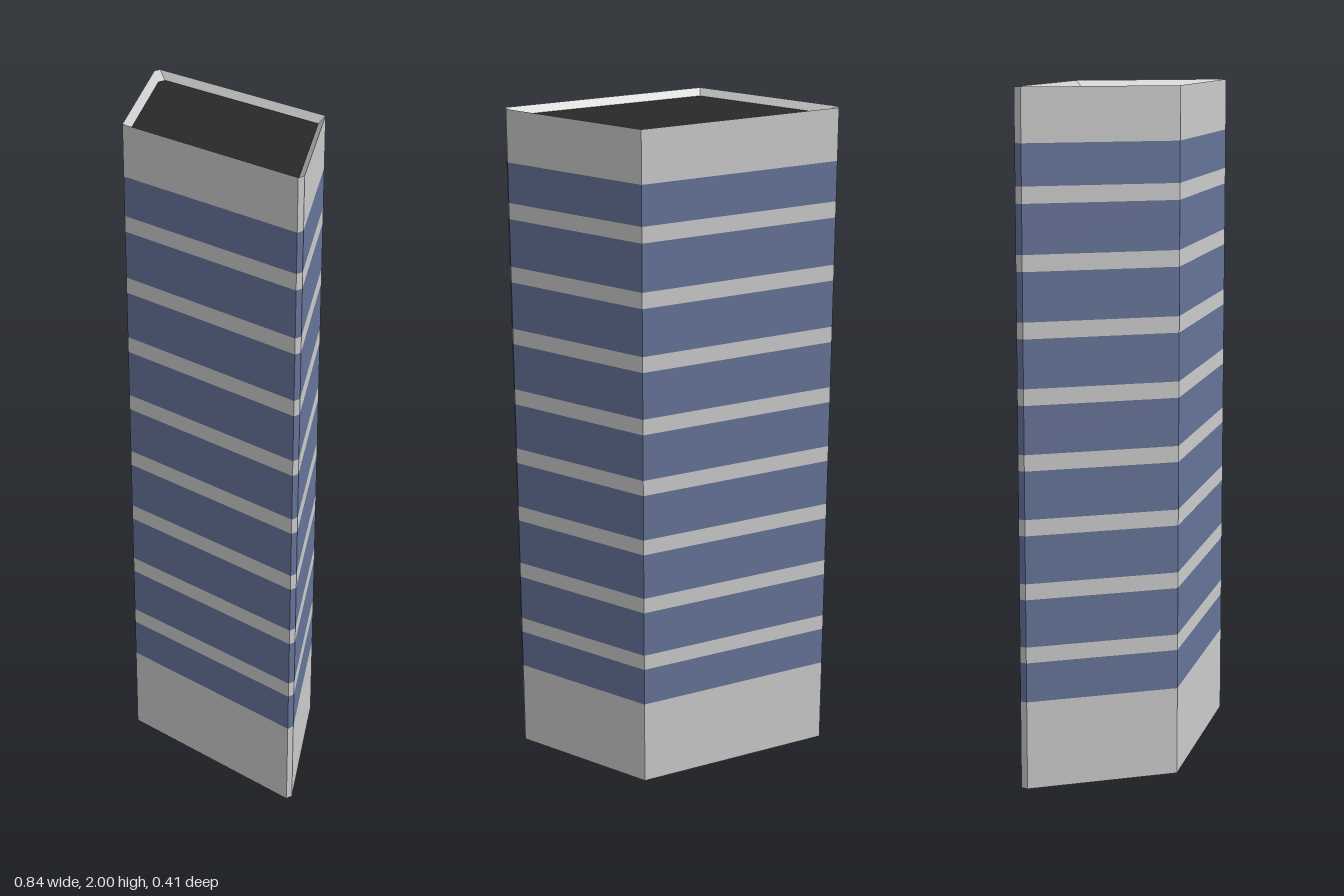
import * as THREE from 'three';

// Footprint as [x, z]: a parallelogram with its two sharp corners cut off
const half = [[-0.417, -0.204], [0.19, -0.204], [0.422, 0.184]];
const innerHalf = [[-0.383, -0.185], [0.18, -0.185], [0.388, 0.164]];
const mirrored = (pts) => [...pts, ...pts.map(([x, z]) => [-x, -z])];
const outer = mirrored(half);
const inner = mirrored(innerHalf);

const wallMat = new THREE.MeshStandardMaterial({ color: 0xcccccc, flatShading: true });
const glassMat = new THREE.MeshStandardMaterial({ color: 0x667499, flatShading: true });
const roofMat = new THREE.MeshStandardMaterial({ color: 0x282828, flatShading: true });

// Walls joining outline a at height ya to outline b at height yb
function loft(a, ya, b, yb) {
  const pos = [];
  a.forEach((p, i) => {
    const j = (i + 1) % a.length;
    const i0 = [p[0], ya, p[1]], j0 = [a[j][0], ya, a[j][1]];
    const i1 = [b[i][0], yb, b[i][1]], j1 = [b[j][0], yb, b[j][1]];
    pos.push(...j0, ...i0, ...i1, ...j0, ...i1, ...j1);
  });
  const g = new THREE.BufferGeometry();
  g.setAttribute('position', new THREE.Float32BufferAttribute(pos, 3));
  g.computeVertexNormals();
  return g;
}

// Flat cap facing up (dir = 1) or down (dir = -1)
function cap(pts, y, dir) {
  const shape = new THREE.Shape(pts.map(([x, z]) => new THREE.Vector2(x, -dir * z)));
  return new THREE.ShapeGeometry(shape).rotateX(-dir * Math.PI / 2).translate(0, y, 0);
}

export function createModel() {
  const group = new THREE.Group();
  const add = (name, geometry, material) => {
    const mesh = new THREE.Mesh(geometry, material);
    mesh.name = name;
    group.add(mesh);
  };
  const band = (name, y0, y1, material) => add(name, loft(outer, y0, outer, y1), material);

  // Plain base and underside
  const glassBottom = 0.262, glassTop = 1.849;
  band('baseWall', 0, glassBottom, wallMat);
  add('underside', cap(outer, 0, -1), wallMat);

  // Window bands separated by eight thin floor strips
  const strips = 8, pitch = 0.1867, firstStrip = 0.402, stripHeight = 0.047;
  let y = glassBottom;
  for (let i = 0; i < strips; i++) {
    const s0 = firstStrip + i * pitch - stripHeight / 2;
    band(`windowBand${i + 1}`, y, s0, glassMat);
    y = s0 + stripHeight;
    band(`floorStrip${i + 1}`, s0, y, wallMat);
  }
  band(`windowBand${strips + 1}`, y, glassTop, glassMat);

  // Top wall, rim sloping inward and dark roof
  band('topWall', glassTop, 2, wallMat);
  add('roofRim', loft(outer, 2, inner, 1.98), wallMat);
  add('roof', cap(inner, 1.98, 1), roofMat);
  return group;
}
